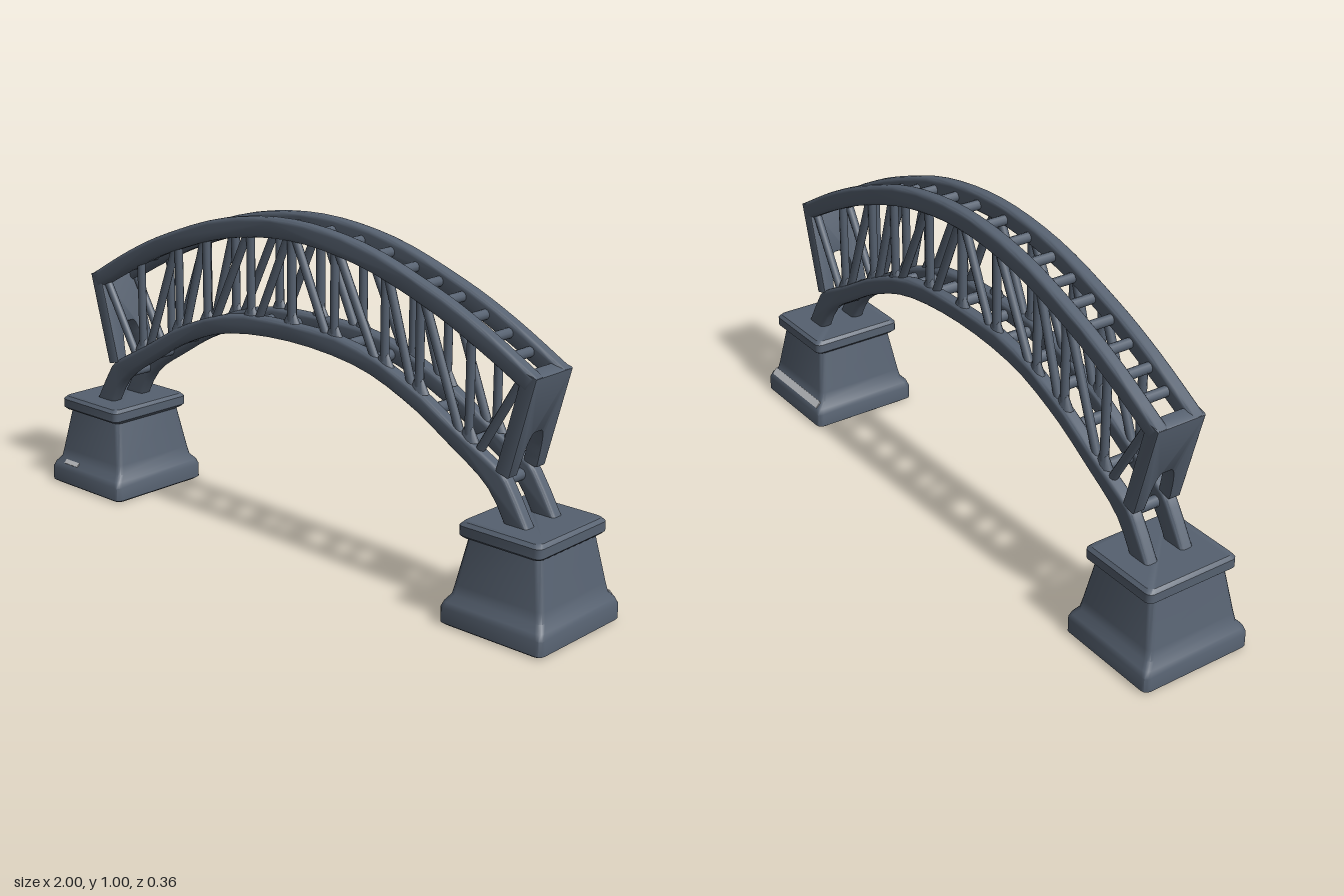
import * as THREE from 'three';
import { toCreasedNormals } from 'three/addons/utils/BufferGeometryUtils.js';

const steel = new THREE.MeshStandardMaterial({ color: 0x566170 });
steel.name = 'slate steel';
const pale = new THREE.MeshStandardMaterial({ color: 0xb8babd });
pale.name = 'pale grey';

// Half profiles of the arch edges, from the centre outwards
const TOP_OUT = [[0, 1], [0.27, 0.97], [0.52, 0.89], [0.7, 0.81], [0.88, 0.71]];
const TOP_IN = [[0, 0.94], [0.26, 0.91], [0.5, 0.835], [0.68, 0.755], [0.85, 0.665]];
const LOW_OUT = [[0, 0.7], [0.24, 0.685], [0.46, 0.61], [0.63, 0.515], [0.77, 0.44], [0.815, 0.39], [0.88, 0.28]];
const LOW_IN = [[0, 0.645], [0.26, 0.622], [0.45, 0.555], [0.6, 0.47], [0.73, 0.385], [0.8, 0.28]];
const CHORD_Z = 0.06;

function add(parent, name, geometry, material = steel) {
  const mesh = new THREE.Mesh(geometry, material);
  mesh.name = name;
  parent.add(mesh);
  return mesh;
}

// Full curve from -x to +x through a mirrored half profile
function edge(half, n = 32) {
  const pts = half.slice(1).reverse().map(([x, y]) => [-x, y]).concat(half);
  return new THREE.SplineCurve(pts.map(p => new THREE.Vector2(...p))).getPoints(n);
}

// Height on a half profile
function heightAt(half, x) {
  x = Math.abs(x);
  let i = 0;
  while (i < half.length - 2 && half[i + 1][0] < x) i++;
  const [a, b] = [half[i], half[i + 1]];
  return a[1] + (b[1] - a[1]) * (x - a[0]) / (b[0] - a[0]);
}
const topY = x => (heightAt(TOP_OUT, x) + heightAt(TOP_IN, x)) / 2;
const lowY = x => (heightAt(LOW_OUT, x) + heightAt(LOW_IN, x)) / 2;

// Flat outline with softened edges, centred on z
function slab(points, width, bevel) {
  const g = new THREE.ExtrudeGeometry(new THREE.Shape(points), {
    depth: width - 2 * bevel, bevelEnabled: true, bevelThickness: bevel,
    bevelSize: bevel, bevelOffset: -bevel, bevelSegments: 3,
  });
  g.translate(0, 0, bevel - width / 2);
  return toCreasedNormals(g, 0.7);
}

function rod(parent, name, a, b, radius) {
  const from = new THREE.Vector3(...a), to = new THREE.Vector3(...b);
  const dir = to.clone().sub(from);
  const mesh = add(parent, name, new THREE.CylinderGeometry(radius, radius, dir.length(), 10));
  mesh.position.copy(from).add(to).multiplyScalar(0.5);
  mesh.quaternion.setFromUnitVectors(new THREE.Vector3(0, 1, 0), dir.normalize());
}

// One plane of the truss: chords, verticals and diagonals
function truss(z) {
  const group = new THREE.Group();
  group.name = z > 0 ? 'frontTruss' : 'backTruss';
  const band = (a, b) => [...edge(a), ...edge(b).reverse()];
  add(group, 'topChord', slab(band(TOP_OUT, TOP_IN), 0.042, 0.012));
  add(group, 'bottomChord', slab(band(LOW_OUT, LOW_IN), 0.042, 0.012));
  const nodes = [0, 0.167, 0.355, 0.48, 0.655];
  rod(group, 'vertical', [0, lowY(0), 0], [0, topY(0), 0], 0.014);
  for (const s of [-1, 1]) {
    for (const x of nodes.slice(1)) {
      rod(group, 'vertical', [s * x, lowY(x), 0], [s * x, topY(x), 0], 0.013);
    }
    for (let i = 0; i < 4; i++) {
      const a = nodes[i] + 0.005, b = nodes[i + 1] - 0.02;
      rod(group, 'diagonal', [s * a, topY(a), 0], [s * b, lowY(b), 0], 0.013);
    }
    rod(group, 'endDiagonal', [s * 0.83, topY(0.83), 0], [s * 0.68, lowY(0.68), 0], 0.013);
    // small gussets where verticals meet the lower chord
    for (const x of nodes) {
      const g = new THREE.CylinderGeometry(0.014, 0.035, 0.04, 10);
      g.scale(1, 1, 0.5);
      add(group, 'gusset', g).position.set(s * x, heightAt(LOW_OUT, x) + 0.01, 0);
    }
  }
  group.position.z = z;
  return group;
}

// Portal plate closing each end, with an arched opening at its foot
function portal(side) {
  const shape = new THREE.Shape();
  shape.moveTo(-0.08, 0);
  shape.lineTo(-0.08, 0.295);
  shape.lineTo(0.08, 0.295);
  shape.lineTo(0.08, 0);
  shape.lineTo(0.042, 0);
  shape.bezierCurveTo(0.036, 0.07, 0.03, 0.115, 0.015, 0.122);
  shape.lineTo(-0.015, 0.122);
  shape.bezierCurveTo(-0.03, 0.115, -0.036, 0.07, -0.042, 0);
  const g = new THREE.ExtrudeGeometry(shape, { depth: 0.036, bevelEnabled: true, bevelThickness: 0.006, bevelSize: 0.006, bevelOffset: -0.006, bevelSegments: 2 });
  g.translate(0, 0, -0.042);
  g.rotateY(Math.PI / 2);
  g.rotateZ(-0.265);
  g.translate(0.805, 0.425, 0);
  if (side < 0) g.rotateY(Math.PI);
  return toCreasedNormals(g, 0.6);
}

// Rounded rectangular sections lofted into a masonry pier
function pierGeometry() {
  const sections = [ // y, half width x, half width z
    [0.005, 0.16, 0.17], [0.012, 0.17, 0.18], [0.055, 0.17, 0.18], [0.072, 0.163, 0.174],
    [0.09, 0.151, 0.157], [0.12, 0.145, 0.151], [0.25, 0.12, 0.131], [0.256, 0.128, 0.145],
    [0.263, 0.135, 0.152], [0.29, 0.135, 0.152], [0.3, 0.126, 0.143],
  ];
  const n = 16, r = 0.018, pos = [], idx = [];
  for (const [y, hx, hz] of sections) {
    for (let i = 0; i < n; i++) {
      const corner = Math.floor(i / 4);
      const angle = (corner + (i % 4) / 3) * Math.PI / 2;
      const sx = corner === 0 || corner === 3 ? 1 : -1, sz = corner < 2 ? 1 : -1;
      pos.push(sx * (hx - r) + r * Math.cos(angle), y, sz * (hz - r) + r * Math.sin(angle));
    }
  }
  const last = (sections.length - 1) * n;
  for (let k = 0; k < last; k += n) {
    for (let i = 0; i < n; i++) {
      const j = (i + 1) % n;
      idx.push(k + i, k + n + i, k + j, k + j, k + n + i, k + n + j);
    }
  }
  for (let i = 1; i < n - 1; i++) {
    idx.push(0, i, i + 1, last, last + i + 1, last + i);
  }
  const g = new THREE.BufferGeometry();
  g.setAttribute('position', new THREE.Float32BufferAttribute(pos, 3));
  g.setIndex(idx);
  return toCreasedNormals(g, 0.7);
}

// Thin pale patch lying on a pier's sloping ledge
function ledgePatch(parent, x, width, length, face) {
  const mesh = add(parent, 'ledgePatch', new THREE.BoxGeometry(width, length, 0.004), pale);
  mesh.position.set(x, 0.0815, face * 0.1662);
  mesh.rotation.x = -face * 0.76;
}

export function createModel() {
  const model = new THREE.Group();
  model.name = 'archBridge';
  for (const z of [CHORD_Z, -CHORD_Z]) model.add(truss(z));

  for (const side of [-1, 1]) {
    add(model, side > 0 ? 'leftPier' : 'rightPier', pierGeometry()).position.x = side * 0.83;
    add(model, 'portal', portal(side));
    // cross struts between the two trusses
    for (const x of [0.065, 0.175, 0.285, 0.375, 0.46, 0.54, 0.62, 0.7, 0.77]) {
      rod(model, 'topStrut', [side * x, topY(x), -CHORD_Z], [side * x, topY(x), CHORD_Z], 0.015);
    }
    for (const x of [0.07, 0.18, 0.29, 0.4, 0.52, 0.64, 0.755]) {
      rod(model, 'bottomStrut', [side * x, lowY(x), -CHORD_Z], [side * x, lowY(x), CHORD_Z], 0.017);
    }
  }
  ledgePatch(model, 0.83, 0.29, 0.024, -1);
  ledgePatch(model, -0.907, 0.065, 0.015, 1);
  return model;
}
